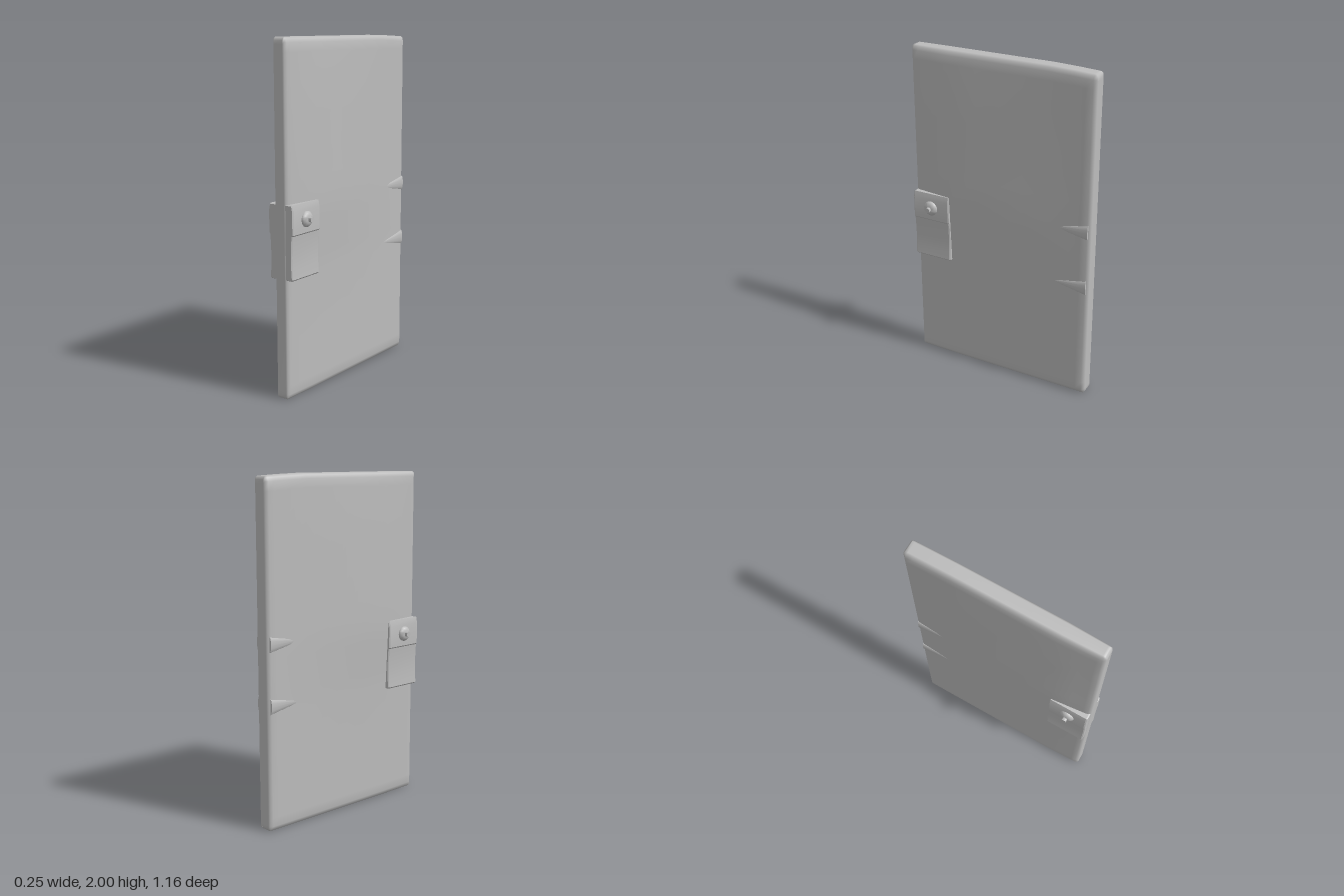
import * as THREE from 'three';
import { mergeVertices, toCreasedNormals } from 'three/addons/utils/BufferGeometryUtils.js';

// piecewise linear lookup through [key, value] pairs
function ramp(points, k) {
  for (let i = 1; i < points.length; i++) {
    const [a, va] = points[i - 1], [b, vb] = points[i];
    if (k <= b) return va + (vb - va) * Math.max(0, (k - a) / (b - a));
  }
  return points[points.length - 1][1];
}

// half thickness of the slab: thickest just behind the latch, thin along the front edge
const BASE = [[-0.58, 0.053], [0.35, 0.052], [0.58, 0.044]];
const SWELL_Z = [[-0.45, 0], [0, 0.75], [0.33, 1], [0.58, 0]];
const SWELL_Y = [[0.69, 0], [1.1, 1], [1.75, 0.5], [1.95, 0.1], [2, 0]];
const halfThickness = (y, z) => ramp(BASE, z) + 0.02 * ramp(SWELL_Z, z) * ramp(SWELL_Y, y);

// box grid with its outer ring pinched into a soft bevel
function slabGeometry() {
  const ys = [0, 0.01, 0.03, 0.08, 0.35, 0.69, 0.8, 0.9, 1, 1.1, 1.25, 1.4, 1.6, 1.75, 1.92, 1.97, 1.99, 2];
  const zs = [-0.58, -0.575, -0.56, -0.52, -0.45, -0.3, -0.15, 0, 0.15, 0.33, 0.45, 0.53, 0.56, 0.572, 0.578];
  const ny = ys.length - 1, nz = zs.length - 1;
  let g = new THREE.BoxGeometry(2, 2, 2, 1, ny, nz);
  g.deleteAttribute('normal');
  g.deleteAttribute('uv');
  g = mergeVertices(g);
  const p = g.attributes.position;
  const pinch = [0.62, 0.8, 1];
  for (let i = 0; i < p.count; i++) {
    const j = Math.round((p.getY(i) + 1) / 2 * ny);
    const k = Math.round((p.getZ(i) + 1) / 2 * nz);
    const ring = Math.min(j, ny - j, k, nz - k, 2);
    let y = ys[j], z = zs[k];
    // round the four corners a little and let the top fall away at the back
    if (j === 0 || j === ny) z *= 0.988;
    if (k === 0 || k === nz) y = 1 + (y - 1) * 0.992;
    if (y > 1.9) y -= 0.012 * Math.max(0, (-0.35 - z) / 0.23);
    p.setXYZ(i, Math.sign(p.getX(i)) * halfThickness(y, z) * pinch[ring], y, z);
  }
  g.computeVertexNormals();
  return g;
}

// latch clasp wrapping the front edge, with a hollowed lower panel
function claspGeometry() {
  const side = [[0.07, 0.688], [0.078, 0.696], [0.074, 0.75], [0.072, 0.82], [0.075, 0.9],
    [0.078, 0.938], [0.084, 0.945], [0.084, 1.075], [0.076, 1.11]];
  const outline = [...side, ...side.map(([x, y]) => [-x, y]).reverse()];
  const shape = new THREE.Shape(outline.map(([x, y]) => new THREE.Vector2(x, y)));
  const g = new THREE.ExtrudeGeometry(shape, {
    depth: 0.23, bevelEnabled: true, bevelThickness: 0.007, bevelSize: 0.004,
    bevelOffset: -0.004, bevelSegments: 1
  });
  g.translate(0, 0, 0.337);
  return toCreasedNormals(g, 0.5);
}

export function createModel() {
  const group = new THREE.Group();
  const grey = new THREE.MeshStandardMaterial({ color: 0xbcbcbc });
  grey.name = 'plain grey';
  const add = (name, geometry) => {
    const mesh = new THREE.Mesh(geometry, grey);
    mesh.name = name;
    group.add(mesh);
    return mesh;
  };

  add('doorSlab', slabGeometry());
  add('latchClasp', claspGeometry());

  // domed bolt with a short pin, turned about the x axis
  const bolt = toCreasedNormals(new THREE.LatheGeometry(
    [[0.045, 0], [0.045, 0.006], [0.037, 0.016], [0.025, 0.022], [0.015, 0.024], [0.015, 0.042], [0, 0.042]]
      .map(([r, h]) => new THREE.Vector2(r, h)), 20), 0.7);
  // tapering hinge rib, pointed towards the front
  const rib = new THREE.ConeGeometry(1, 0.235, 12).rotateX(Math.PI / 2);
  for (const s of [1, -1]) {
    const b = add(s > 0 ? 'leftBolt' : 'rightBolt', bolt);
    b.rotation.z = -s * Math.PI / 2;
    b.position.set(s * 0.083, 1.02, 0.453);

    for (const y of [1.08, 0.73]) {
      const r = add(s > 0 ? 'leftHingeRib' : 'rightHingeRib', rib);
      r.scale.set(0.012, 0.045, 1);
      r.position.set(s * (halfThickness(y, -0.45) - 0.002), y, -0.448);
    }
  }
  return group;
}
